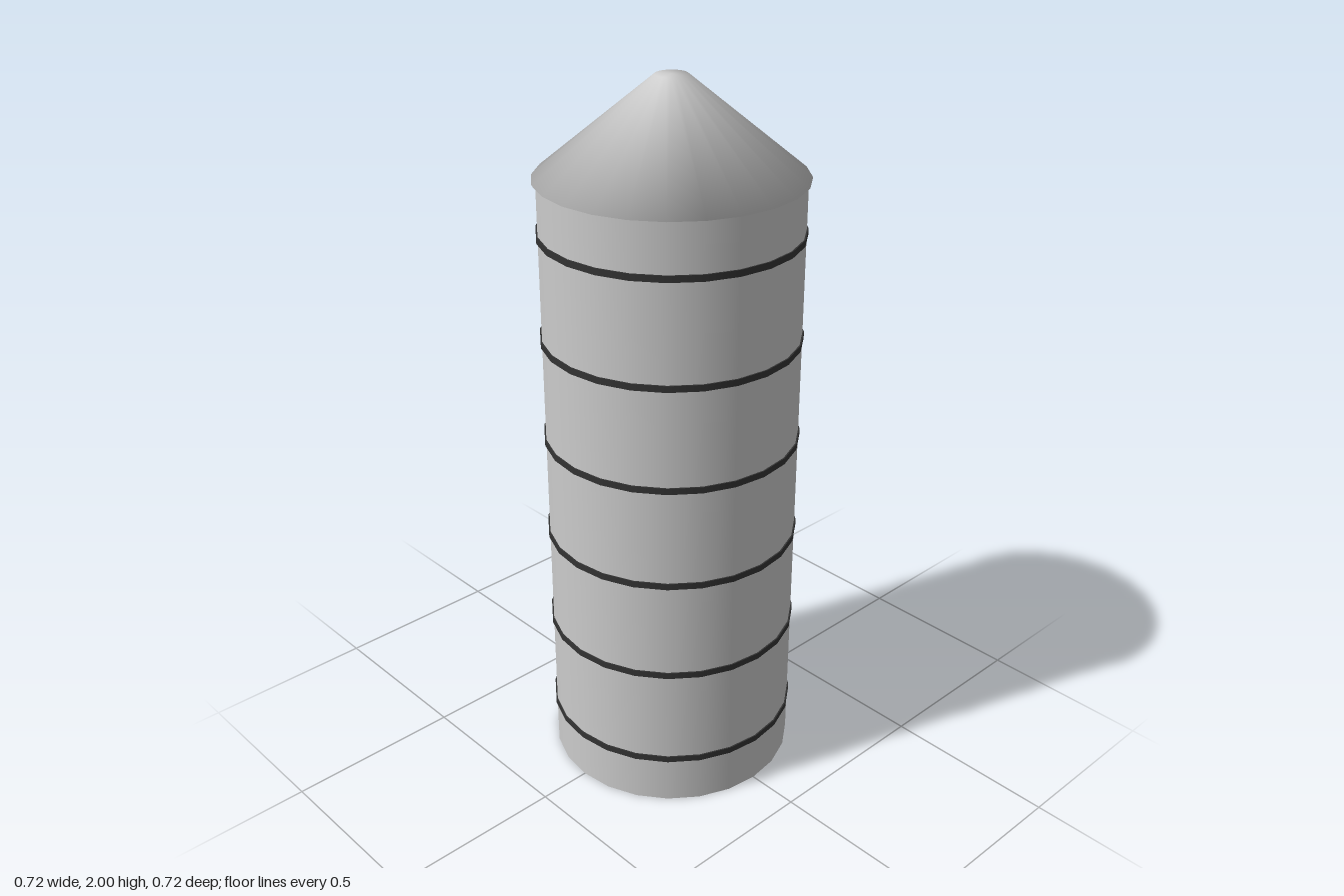
import * as THREE from 'three';

const SIDES = 24;
const WALL_RADIUS = 0.35;
const WALL_HEIGHT = 1.74;
const RINGS = 6;

export function createModel() {
  const group = new THREE.Group();
  const grey = new THREE.MeshStandardMaterial({ color: 0xcccccc });
  const dark = new THREE.MeshStandardMaterial({ color: 0x333333 });

  const add = (name, geometry, material, y = 0) => {
    const mesh = new THREE.Mesh(geometry, material);
    mesh.name = name;
    mesh.position.y = y;
    group.add(mesh);
  };

  // Cylindrical wall with closed ends
  add('wall', new THREE.CylinderGeometry(WALL_RADIUS, WALL_RADIUS, WALL_HEIGHT, SIDES), grey, WALL_HEIGHT / 2);

  // Evenly spaced thin bands, the first and last half a step from the ends
  const step = WALL_HEIGHT / RINGS;
  const band = new THREE.CylinderGeometry(0.354, 0.354, 0.018, SIDES);
  for (let i = 0; i < RINGS; i++) add(`band${i + 1}`, band, dark, (i + 0.5) * step);

  // Conical roof with a small flat tip, a slight overhang and soft normals over its edges
  const roofProfile = [[0, 1.74], [0.36, 1.74], [0.043, 2], [0, 2]].map(([r, y]) => new THREE.Vector2(r, y));
  add('roof', new THREE.LatheGeometry(roofProfile, SIDES), grey);

  return group;
}
